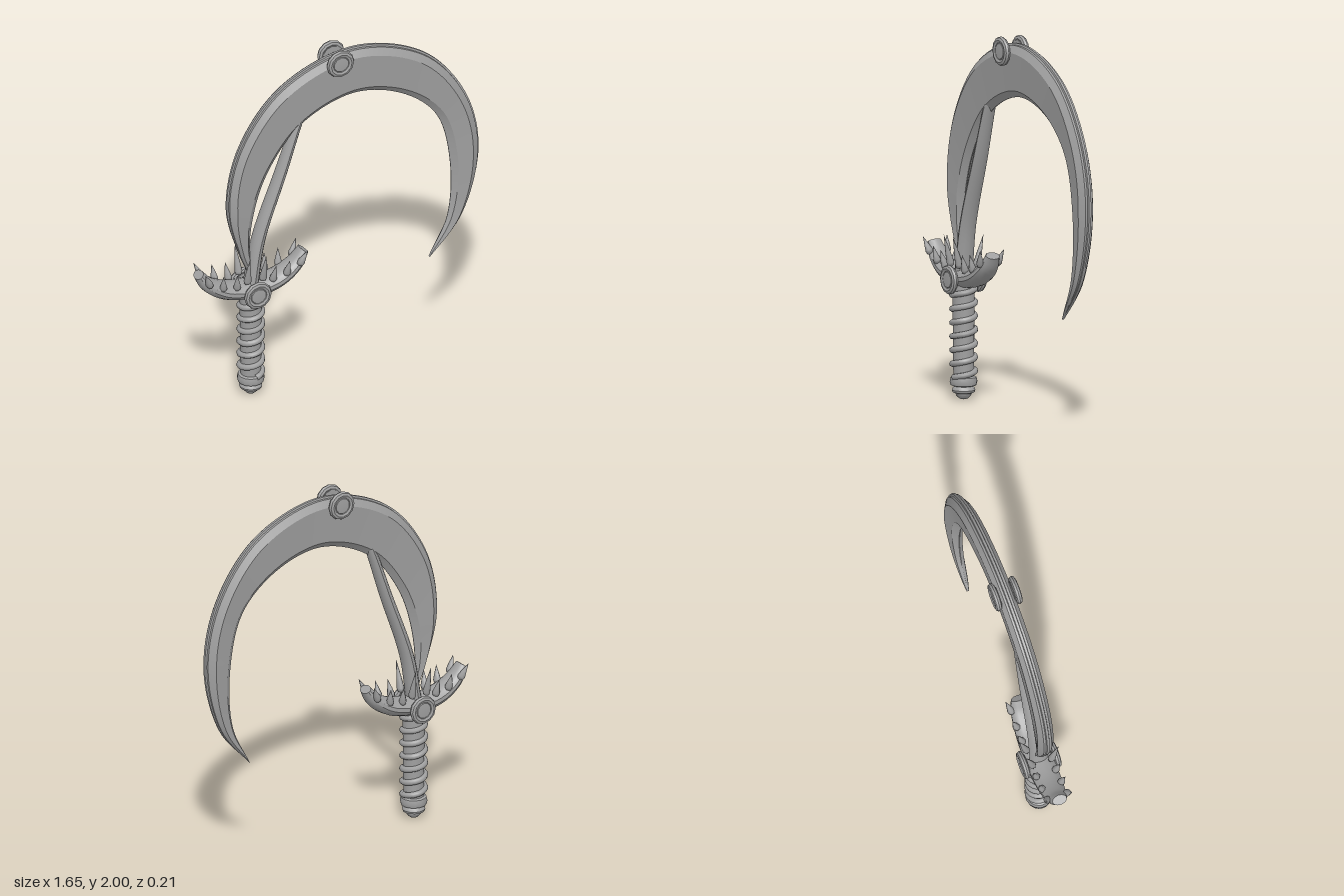
import * as THREE from 'three';
import { toCreasedNormals } from 'three/addons/utils/BufferGeometryUtils.js';

const steel = new THREE.MeshStandardMaterial({ color: 0xa0a0a0 });
steel.name = 'grey steel';

function add(parent, name, geometry) {
  const mesh = new THREE.Mesh(geometry, steel);
  mesh.name = name;
  parent.add(mesh);
  return mesh;
}

const curve = (pts) => new THREE.CatmullRomCurve3(pts.map(([x, y]) => new THREE.Vector3(x, y, 0)));

// Skins a list of closed rings of points
function loft(rings, crease = 0.6) {
  const n = rings[0].length, index = [];
  for (let i = 0; i < rings.length - 1; i++) {
    for (let j = 0; j < n; j++) {
      const a = i * n + j, c = i * n + (j + 1) % n, b = a + n, d = c + n;
      index.push(a, c, b, b, c, d);
    }
  }
  const g = new THREE.BufferGeometry();
  g.setAttribute('position', new THREE.Float32BufferAttribute(rings.flat(2), 3));
  g.setIndex(index);
  return toCreasedNormals(g, crease);
}

// Tapered elliptical bar along a curve in the xy plane
function taperedBar(path, steps, sides, radius, zRadius) {
  const rings = [];
  for (let i = -1; i <= steps + 1; i++) {
    const t = Math.min(1, Math.max(0, i / steps));
    const closed = i < 0 || i > steps ? 0 : 1;
    const p = path.getPoint(t), d = path.getTangent(t);
    const ring = [];
    for (let j = 0; j < sides; j++) {
      const a = (j / sides) * Math.PI * 2;
      const r = Math.cos(a) * radius(t) * closed;
      ring.push([p.x - d.y * r, p.y + d.x * r, Math.sin(a) * zRadius(t) * closed]);
    }
    rings.push(ring);
  }
  return loft(rings);
}

// Crescent blade with a stepped outer rim and a sharpened inner edge
function bladeGeometry() {
  const outer = curve([[-0.5, 0.7], [-0.58, 0.9], [-0.643, 1.17], [-0.57, 1.52], [-0.325, 1.83], [0.09, 1.97],
    [0.5, 1.835], [0.745, 1.53], [0.825, 1.17], [0.73, 0.79], [0.54, 0.562]]);
  const inner = curve([[-0.46, 0.7], [-0.505, 0.85], [-0.482, 1.1], [-0.395, 1.34], [-0.21, 1.57], [0.09, 1.685],
    [0.37, 1.615], [0.58, 1.43], [0.66, 1.13], [0.645, 0.79], [0.539, 0.565]]);
  const rings = [], steps = 90;
  for (let i = 0; i <= steps; i++) {
    const o = outer.getPoint(i / steps), v = inner.getPoint(i / steps).sub(o);
    const w = v.length(), k = Math.min(1, w / 0.17), kz = Math.sqrt(k);
    v.divideScalar(w);
    const half = [[0, 0.007], [0.01 * k, 0.01], [0.011 * k, 0.022], [0.05 * k, 0.045],
      [w - 0.035 * k, 0.032], [w, 0.002]];
    const point = (s) => ([d, z]) => [o.x + v.x * d, o.y + v.y * d, s * z * kz];
    rings.push([...half.map(point(1)), ...half.slice().reverse().map(point(-1))]);
  }
  return loft(rings, 0.3);
}

// Round boss: a faceted ring around a shallow domed stone
function medallion(parent, name, x, y, z, side) {
  const g = new THREE.Group();
  g.name = name;
  const ring = add(g, 'medallionRing', toCreasedNormals(new THREE.TorusGeometry(0.06, 0.019, 8, 12), 0.6));
  ring.scale.z = 0.9;
  const profile = [[0, -0.02], [0.055, -0.02], [0.05, 0.004], [0.042, 0.013], [0, 0.016]]
    .map(([r, h]) => new THREE.Vector2(r, h));
  add(g, 'medallionStone', toCreasedNormals(new THREE.LatheGeometry(profile, 10), 0.5)).rotation.x = Math.PI / 2;
  g.position.set(x, y, z * side);
  if (side < 0) g.rotation.y = Math.PI;
  parent.add(g);
}

export function createModel() {
  const model = new THREE.Group();
  model.name = 'crescentSword';
  const cx = -0.5;

  add(model, 'crescentBlade', bladeGeometry());

  // Slanted needle that runs from the guard into the blade
  const needle = curve([[-0.5, 0.68], [-0.455, 0.94], [-0.325, 1.31], [-0.225, 1.6], [-0.17, 1.725]]);
  const taper = (t) => 0.004 + 0.034 * Math.pow(1 - t, 0.35);
  add(model, 'needle', taperedBar(needle, 24, 12, taper, (t) => taper(t) * 1.35));

  // Upturned guard
  const guardPath = curve([[-0.805, 0.805], [-0.755, 0.735], [-0.65, 0.672], [cx, 0.65],
    [-0.35, 0.672], [-0.245, 0.735], [-0.195, 0.805]]);
  const bulge = (t) => Math.sin(Math.PI * t);
  add(model, 'guard', taperedBar(guardPath, 28, 14, (t) => 0.027 + 0.024 * bulge(t), (t) => 0.04 + 0.036 * bulge(t)));

  // Thorns in two rows along the guard
  const thorns = new THREE.Group();
  thorns.name = 'guardThorns';
  model.add(thorns);
  const rows = [[0.045, 0.73, 0.16, 0.02], [0.105, 0.71, 0.09, 0.1], [0.185, 0.725, 0.085, 0.1], [0.265, 0.765, 0.085, 0.45]];
  const up = new THREE.Vector3(0, 1, 0);
  for (const side of [-1, 1]) {
    for (const face of [-1, 1]) {
      for (const [dx, y, length, lean] of rows) {
        const profile = [[0, -0.02], [0.017, -0.012], [0.021, 0.005], [0.014, length * 0.4], [0, length]]
          .map(([r, h]) => new THREE.Vector2(r, h));
        const thorn = add(thorns, 'thorn', new THREE.LatheGeometry(profile, 7));
        thorn.position.set(cx + side * dx, y - 0.005, face * 0.054);
        thorn.quaternion.setFromUnitVectors(up, new THREE.Vector3(side * lean, 1, face * 0.25).normalize());
      }
    }
  }

  // Medallions on both faces of the guard and the blade
  for (const side of [-1, 1]) {
    medallion(model, 'guardMedallion', cx, 0.645, 0.088, side);
    medallion(model, 'bladeMedallion', -0.005, 1.921, 0.058, side);
  }

  // Grip core with a spiral wrap
  const grip = add(model, 'gripCore', new THREE.CylinderGeometry(0.06, 0.054, 0.55, 16));
  grip.position.set(cx, 0.365, 0);
  const turns = 6.5, wrap = [];
  for (let i = 0; i <= turns * 16; i++) {
    const a = (i / 16) * Math.PI * 2, t = i / (turns * 16);
    wrap.push(new THREE.Vector3(cx + 0.06 * Math.sin(a), 0.125 + 0.475 * t, 0.06 * Math.cos(a)));
  }
  add(model, 'gripWrap', new THREE.TubeGeometry(new THREE.CatmullRomCurve3(wrap), 160, 0.0165, 7));

  // Ringed pommel
  const pommel = [[0, 0.003], [0.022, 0.008], [0.04, 0.026], [0.042, 0.036], [0.058, 0.042], [0.062, 0.054],
    [0.056, 0.068], [0.05, 0.074], [0.068, 0.08], [0.073, 0.1], [0.068, 0.122], [0.05, 0.13], [0, 0.13]]
    .map(([r, y]) => new THREE.Vector2(r, y));
  add(model, 'pommel', toCreasedNormals(new THREE.LatheGeometry(pommel, 14), 0.7)).position.x = cx;

  return model;
}
